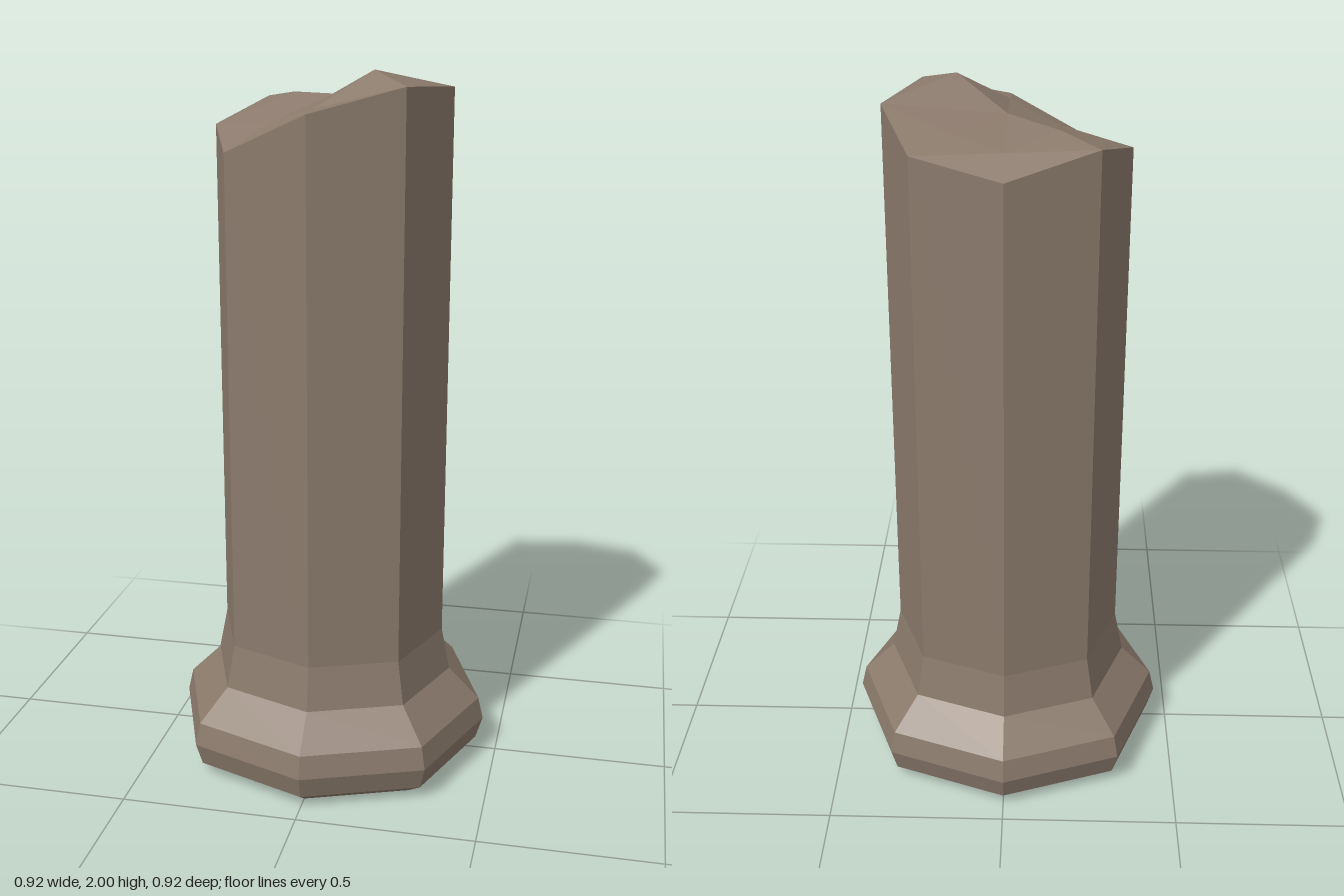
import * as THREE from 'three';

const SIDES = 8;

// Octagonal ring; corners on the diagonals sit slightly further out
function ring(radius, heights) {
  return Array.from({ length: SIDES }, (_, k) => {
    const a = (k * Math.PI) / 4;
    const r = k % 2 ? radius * 1.028 : radius;
    const y = Array.isArray(heights) ? heights[k] : heights;
    return new THREE.Vector3(r * Math.cos(a), y, r * Math.sin(a));
  });
}

// Triangles for the wall between consecutive rings
function wall(rings) {
  const tris = [];
  for (let i = 0; i < rings.length - 1; i++) {
    const lo = rings[i], hi = rings[i + 1];
    for (let k = 0; k < SIDES; k++) {
      const n = (k + 1) % SIDES;
      tris.push(lo[k], hi[k], hi[n], lo[k], hi[n], lo[n]);
    }
  }
  return tris;
}

function facetedMesh(name, tris, material) {
  const geometry = new THREE.BufferGeometry().setFromPoints(tris);
  geometry.computeVertexNormals();
  const mesh = new THREE.Mesh(geometry, material);
  mesh.name = name;
  return mesh;
}

export function createModel() {
  const group = new THREE.Group();
  group.name = 'brokenColumn';
  const stone = new THREE.MeshStandardMaterial({ color: 0x8b7a6c, flatShading: true });
  stone.name = 'brown stone';

  // Flared foot, with a closed underside
  const profile = [[0.39, 0], [0.44, 0.035], [0.46, 0.1], [0.445, 0.165], [0.355, 0.255], [0.33, 0.38]];
  const footRings = profile.map(([r, y]) => ring(r, y));
  const footTris = wall(footRings);
  const under = new THREE.Vector3(0, 0, 0);
  for (let k = 0; k < SIDES; k++) {
    footTris.push(under, footRings[0][k], footRings[0][(k + 1) % SIDES]);
  }
  group.add(facetedMesh('foot', footTris, stone));

  // Straight shaft with an uneven upper rim
  const rim = ring(0.33, [1.95, 1.965, 1.9, 1.79, 1.84, 1.9, 1.84, 1.88]);
  group.add(facetedMesh('shaft', wall([footRings.at(-1), rim]), stone));

  // Broken top: a fan round the centre, then corners and end slivers out to the rim
  const v = (x, y, z) => new THREE.Vector3(x, y, z);
  const centre = v(0, 1.927, 0);
  const inner = [
    rim[0], v(0.14, 2, 0.14), v(0, 1.907, 0.24), v(-0.14, 1.86, 0.14),
    rim[4], v(-0.14, 1.92, -0.14), v(0, 1.89, -0.24), v(0.14, 1.91, -0.14),
  ];
  const topTris = [];
  for (let k = 0; k < SIDES; k++) {
    const next = inner[(k + 1) % SIDES];
    topTris.push(centre, next, inner[k]);
    const corner = k % 2 ? rim[k] : rim[k + 1];
    topTris.push(inner[k], next, corner);
  }
  for (const k of [2, 6]) {
    topTris.push(inner[k], rim[k], rim[k - 1], inner[k], rim[k + 1], rim[k]);
  }
  group.add(facetedMesh('brokenTop', topTris, stone));

  return group;
}
